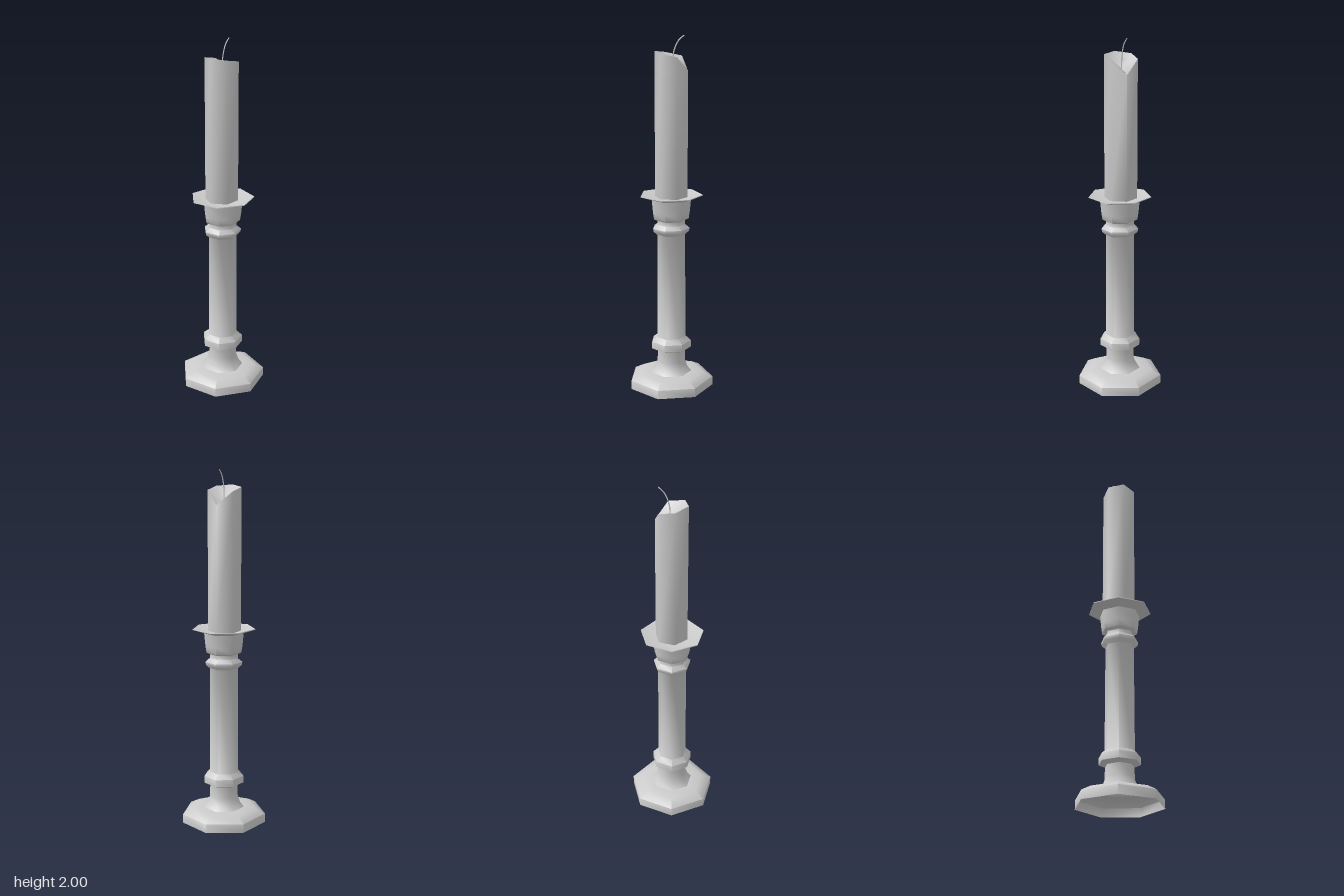
import * as THREE from 'three';
import { toCreasedNormals } from 'three/addons/utils/BufferGeometryUtils.js';

const grey = new THREE.MeshStandardMaterial({ color: 0xcccccc, side: THREE.DoubleSide });
const CREASE = 1.1; // keeps the few-sided turnings smooth around, sharp at steps

function part(name, geometry) {
  const mesh = new THREE.Mesh(geometry, grey);
  mesh.name = name;
  return mesh;
}

// Seven-sided turned part with a corner towards +x
function turned(name, profile) {
  const points = profile.map(([r, y]) => new THREE.Vector2(r, y));
  const geo = new THREE.LatheGeometry(points, 7, Math.PI / 2);
  const mesh = part(name, toCreasedNormals(geo, CREASE));
  mesh.position.x = -0.01;
  return mesh;
}

// Hexagonal candle whose rim drops away on one side around a hollow
function candle() {
  const radius = 0.092, bottom = 1.1, height = 0.8;
  const geo = new THREE.CylinderGeometry(radius, radius, height, 6, 1, false, THREE.MathUtils.degToRad(85));
  geo.translate(0, bottom + height / 2, 0);
  const pos = geo.attributes.position;
  for (let i = 0; i < pos.count; i++) {
    if (pos.getY(i) < 1.5) continue;
    const x = pos.getX(i), r = Math.hypot(x, pos.getZ(i));
    pos.setY(i, r < 0.01 ? 1.835 : x > 0.08 ? 1.81 : 1.895 - 0.2 * x);
  }
  const mesh = part('candle', toCreasedNormals(geo, CREASE));
  mesh.position.set(-0.008, 0, -0.005);
  return mesh;
}

// Thin wick, bending to one side
function wick() {
  const path = new THREE.CatmullRomCurve3([
    [0, 1.83], [0.002, 1.89], [0.015, 1.94], [0.035, 1.975], [0.062, 1.998],
  ].map(([x, y]) => new THREE.Vector3(x, y, -0.006)));
  return part('wick', new THREE.TubeGeometry(path, 10, 0.0035, 4));
}

export function createModel() {
  const group = new THREE.Group();
  group.name = 'candlestick';
  group.add(
    // Hollow foot
    turned('foot', [[0.242, 0], [0.242, 0.05], [0.185, 0.08], [0.118, 0.083]]),
    // Flared stem, lower collar, shaft and upper ring
    turned('stem', [
      [0.118, 0.083], [0.096, 0.11], [0.082, 0.15], [0.08, 0.215],
      [0.115, 0.23], [0.115, 0.27], [0.083, 0.295], [0.081, 0.9],
      [0.102, 0.918], [0.106, 0.937], [0.08, 0.957], [0.08, 0.98],
    ]),
    // Socket flaring into the drip pan
    turned('socketAndPan', [
      [0.08, 0.98], [0.1, 0.99], [0.106, 1.03], [0.113, 1.1],
      [0.179, 1.122], [0.178, 1.126], [0.12, 1.112], [0, 1.11],
    ]),
    candle(),
    wick(),
  );
  return group;
}
